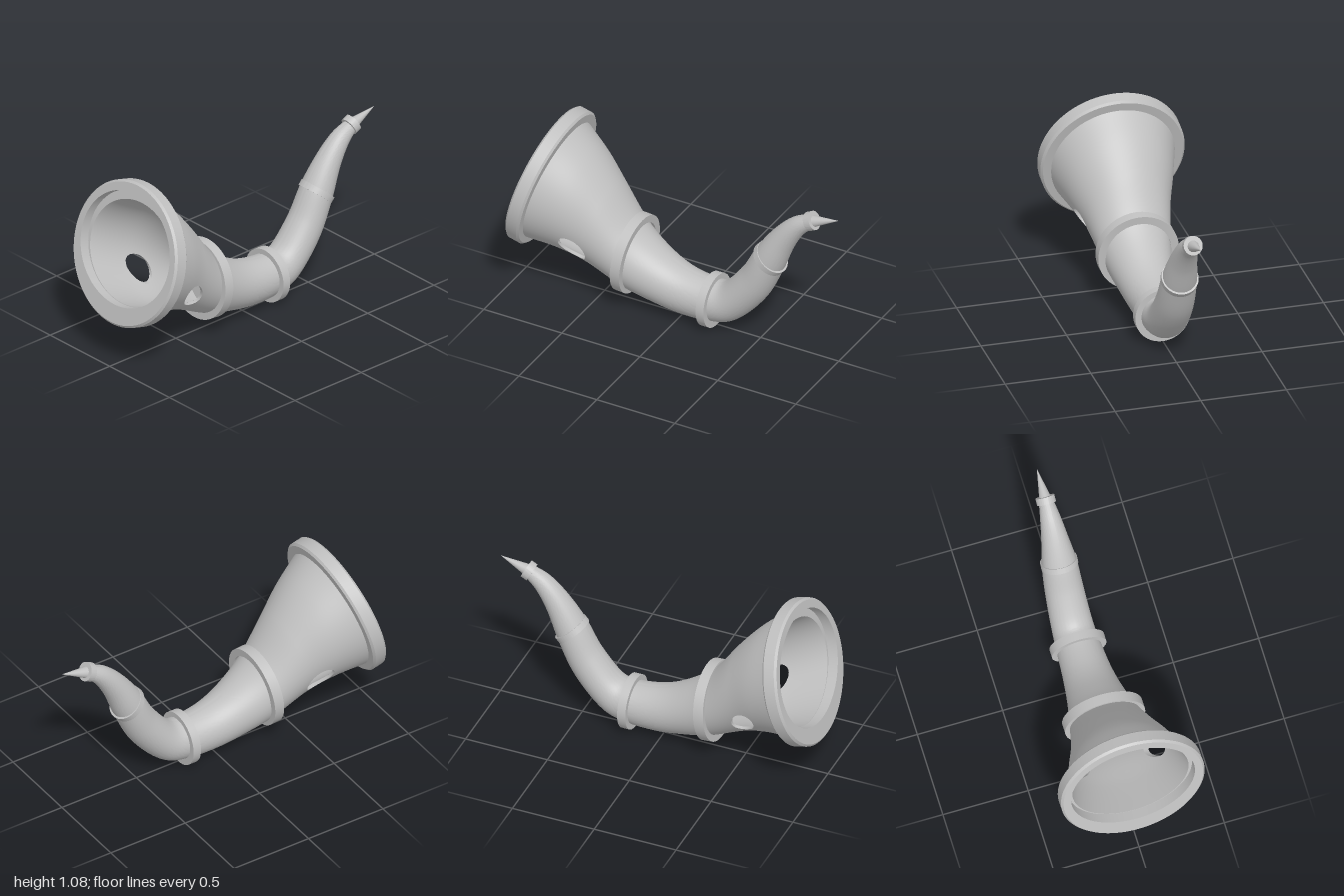
import * as THREE from 'three';
import { toCreasedNormals } from 'three/addons/utils/BufferGeometryUtils.js';

const metal = new THREE.MeshStandardMaterial({ color: 0xc0c0c0, side: THREE.DoubleSide });
metal.name = 'horn grey';

const SEG = 96;
const rad = THREE.MathUtils.degToRad;

// A section is [z, y, tilt in degrees, half width, half height].
const outerRows = [
  [0.806, 0.645, 15.5, 0.36, 0.368],
  [0.645, 0.57, 14, 0.305, 0.31],
  [0.497, 0.468, 12, 0.248, 0.256],
  [0.311, 0.313, 5, 0.2, 0.2],
  [0.14, 0.223, 3, 0.163, 0.161],
  [-0.02, 0.173, 1, 0.14, 0.139],
  [-0.195, 0.163, 0, 0.126, 0.126],
  [-0.32, 0.202, -20, 0.118, 0.118],
  [-0.465, 0.368, -41, 0.11, 0.11],
  [-0.563, 0.557, -49, 0.1, 0.1],
  [-0.65, 0.715, -47, 0.077, 0.077],
  [-0.738, 0.826, -38, 0.058, 0.058],
  [-0.828, 0.888, -27, 0.04, 0.04],
];
const innerRows = [
  [0.832, 0.661, 15, 0.34, 0.3],
  [0.65, 0.565, 14, 0.287, 0.275],
  [0.5, 0.465, 12, 0.23, 0.23],
  [0.35, 0.34, 7, 0.19, 0.185],
  [0.25, 0.275, 5, 0.168, 0.165],
];

// Smoothly interpolates a list of sections
function smooth(rows, perSpan) {
  const place = new THREE.CatmullRomCurve3(rows.map((r) => new THREE.Vector3(r[0], r[1], r[2])), false, 'catmullrom');
  const size = new THREE.CatmullRomCurve3(rows.map((r) => new THREE.Vector3(r[3], r[4], 0)), false, 'catmullrom');
  const n = (rows.length - 1) * perSpan;
  return Array.from({ length: n + 1 }, (_, i) => {
    const p = place.getPoint(i / n), s = size.getPoint(i / n);
    return [p.x, p.y, p.z, s.x, s.y];
  });
}

function sectionLoop([z, y, tilt, ru, rv]) {
  const a = rad(tilt);
  return Array.from({ length: SEG }, (_, j) => {
    const t = (j / SEG) * Math.PI * 2, v = rv * Math.sin(t);
    return new THREE.Vector3(ru * Math.cos(t), y + v * Math.cos(a), z - v * Math.sin(a));
  });
}

// Skins closed loops of points; triangles lying wholly inside a hole are left out
function skin(loops, crease = 0.5) {
  const n = loops[0].length, pos = [];
  const tri = (...ps) => {
    if (!ps.every((p) => p.cut)) ps.forEach((p) => pos.push(p.x, p.y, p.z));
  };
  for (let i = 0; i < loops.length - 1; i++) {
    for (let j = 0; j < n; j++) {
      const k = (j + 1) % n;
      tri(loops[i][j], loops[i + 1][j], loops[i][k]);
      tri(loops[i][k], loops[i + 1][j], loops[i + 1][k]);
    }
  }
  const g = new THREE.BufferGeometry();
  g.setAttribute('position', new THREE.Float32BufferAttribute(pos, 3));
  return toCreasedNormals(g, crease);
}

// Oval side hole, measured in the side plane
const hole = { z: 0.58, y: 0.39, c: 0.62, s: 0.785, major: 0.092, minor: 0.062 };
function holePoint(t) {
  const p = hole.major * Math.cos(t), q = hole.minor * Math.sin(t);
  return [hole.z + p * hole.c - q * hole.s, hole.y + p * hole.s + q * hole.c];
}

// Half width of a lofted wall at a given side-plane position
function widthAt(rows, z, y) {
  const local = (r) => {
    const a = rad(r[2]), dz = z - r[0], dy = y - r[1];
    const v = (dy * Math.cos(a) - dz * Math.sin(a)) / r[4];
    return [dz * Math.cos(a) + dy * Math.sin(a), r[3] * Math.sqrt(Math.max(0, 1 - v * v))];
  };
  for (let i = 0; i < rows.length - 1; i++) {
    const [s0, x0] = local(rows[i]), [s1, x1] = local(rows[i + 1]);
    if (s0 * s1 <= 0 && s0 !== s1) return x0 + ((x1 - x0) * s0) / (s0 - s1);
  }
  return 0;
}

// Snaps points inside the hole to its edge
function pierce(loops, rows) {
  for (const p of loops.flat()) {
    const dz = p.z - hole.z, dy = p.y - hole.y;
    const u = (dz * hole.c + dy * hole.s) / hole.major;
    const v = (dy * hole.c - dz * hole.s) / hole.minor;
    if (u * u + v * v >= 1) continue;
    const [z, y] = holePoint(Math.atan2(v, u));
    p.set(Math.sign(p.x) * widthAt(rows, z, y), y, z);
    p.cut = true;
  }
  return loops;
}

export function createModel() {
  const group = new THREE.Group();
  group.name = 'horn';
  const add = (name, geometry) => {
    const m = new THREE.Mesh(geometry, metal);
    m.name = name;
    group.add(m);
    return m;
  };

  // Outer horn body, divided at the bands
  const per = 16;
  const outer = smooth(outerRows, per);
  const part = (from, to) => outer.slice(from * per, to * per + 1);
  const bell = part(0, 3);
  add('bell', skin(pierce(bell.map(sectionLoop), bell)));
  add('middleTube', skin(part(3, 6).map(sectionLoop)));
  add('bendTube', skin(part(6, 9).map(sectionLoop)));
  add('neckTube', skin(part(9, 12).map(sectionLoop)));

  // Hollow inside of the bell, closed by a flat end
  const inner = smooth(innerRows, per);
  const innerLoops = pierce(inner.map(sectionLoop), inner).reverse();
  const end = innerRows[innerRows.length - 1];
  innerLoops.unshift(sectionLoop([end[0], end[1], 0, 0, 0]));
  add('bellInside', skin(innerLoops));

  // Edges of the two side holes
  for (const side of [1, -1]) {
    const edge = (rows) => Array.from({ length: 48 }, (_, i) => {
      const [z, y] = holePoint(((side * i) / 48) * Math.PI * 2);
      return new THREE.Vector3(side * widthAt(rows, z, y), y, z);
    });
    add(side > 0 ? 'leftHoleEdge' : 'rightHoleEdge', skin([edge(bell), edge(inner)]));
  }

  // Heavy rim with an oval mouth: [depth, half width, half height, upward offset]
  const tilt = rad(15);
  const rim = [
    [0.06, 0.34, 0.3, 0], [0.06, 0.362, 0.33, 0.027], [0, 0.362, 0.33, 0.027], [0, 0.408, 0.408, 0],
    [0.012, 0.42, 0.42, 0], [0.078, 0.42, 0.42, 0], [0.09, 0.408, 0.408, 0], [0.09, 0.35, 0.35, 0],
  ].map(([d, ru, rv, v]) => [
    0.89 - d * Math.cos(tilt) - v * Math.sin(tilt),
    0.677 - d * Math.sin(tilt) + v * Math.cos(tilt), 15, ru, rv,
  ]);
  add('rim', skin(rim.map(sectionLoop)));

  // Bands: name, z, y, tilt, outer radius, inner radius, width
  const bands = [
    ['bellBand', 0.308, 0.315, 5, 0.235, 0.19, 0.06],
    ['middleBand', -0.195, 0.16, 0, 0.16, 0.11, 0.05],
    ['neckBand', -0.563, 0.557, -49, 0.106, 0.085, 0.036],
    ['tipBand', -0.826, 0.888, -27, 0.055, 0.02, 0.04],
  ];
  for (const [name, z, y, deg, ro, ri, w] of bands) {
    const a = rad(deg);
    const at = (d, r) => sectionLoop([z + d * Math.cos(a), y + d * Math.sin(a), deg, r, r]);
    const h = w / 2;
    add(name, skin([at(h, ri), at(h, ro), at(-h, ro), at(-h, ri), at(h, ri)]));
  }

  // Pointed tip
  const base = new THREE.Vector3(0, 0.886, -0.825), point = new THREE.Vector3(0, 0.943, -1);
  const dir = point.clone().sub(base);
  const tip = add('tip', new THREE.ConeGeometry(0.037, dir.length(), 48));
  tip.position.copy(base).addScaledVector(dir, 0.5);
  tip.quaternion.setFromUnitVectors(new THREE.Vector3(0, 1, 0), dir.normalize());

  return group;
}
